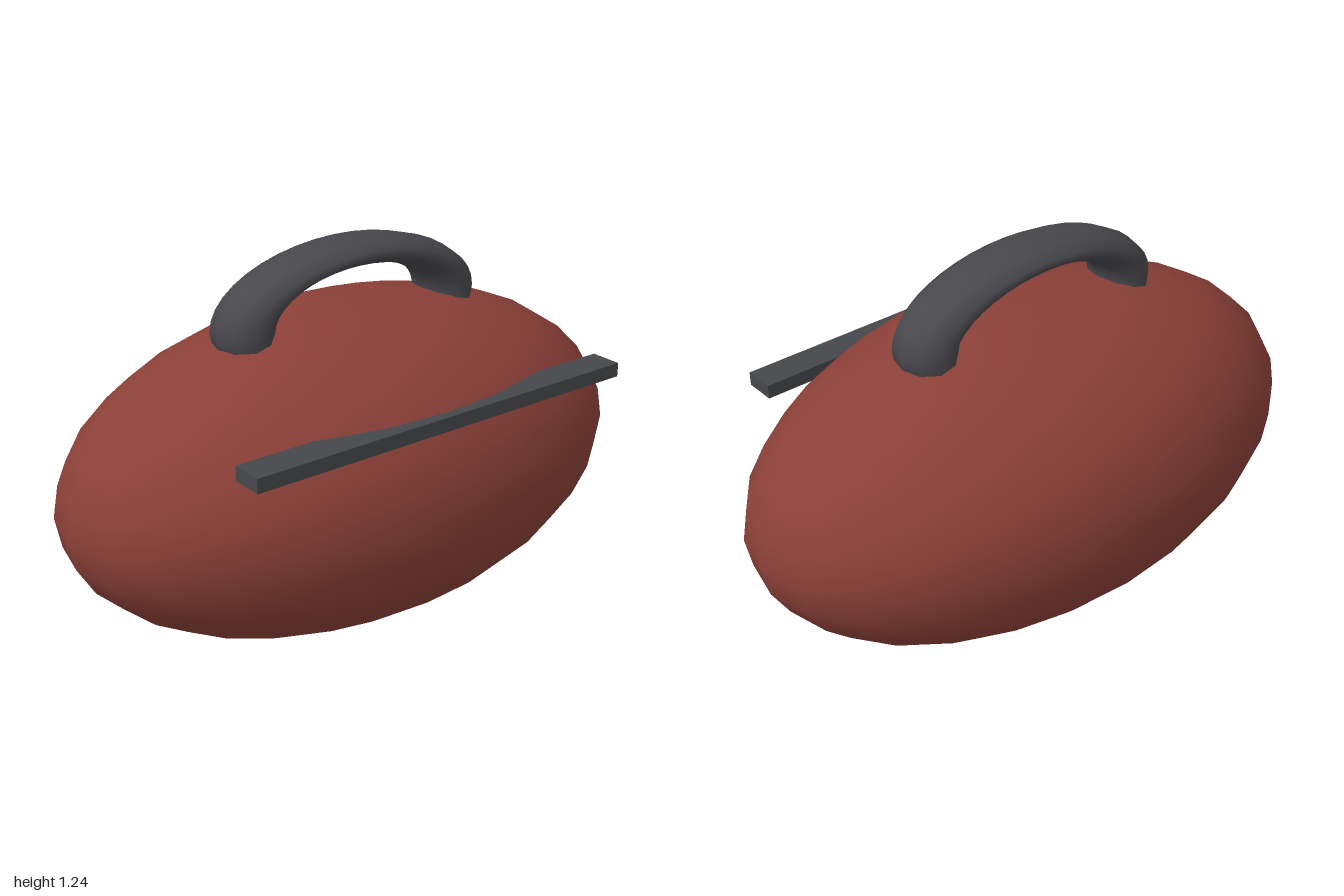
import * as THREE from 'three';

export function createModel() {
  const model = new THREE.Group();
  const material = (name, color) => {
    const m = new THREE.MeshStandardMaterial({ color });
    m.name = name;
    return m;
  };
  const red = material('brick red', 0x8b4038);
  const charcoal = material('charcoal', 0x47474c);
  const slate = material('slate grey', 0x45474b);

  const add = (name, geometry, mat, y, z) => {
    const mesh = new THREE.Mesh(geometry, mat);
    mesh.name = name;
    mesh.position.set(0, y, z);
    model.add(mesh);
  };

  // Ellipsoid body
  add('body', new THREE.SphereGeometry(1, 24, 16).scale(1, 0.521, 0.585), red, 0.524, 0);

  // Flattened ring whose lower half is sunk in the body
  add('handle', new THREE.TorusGeometry(0.388, 0.09, 10, 40).scale(1, 0.475, 1.222), charcoal, 1.013, 0);

  // Straight bar across the front
  add('frontBar', new THREE.BoxGeometry(1.375, 0.045, 0.104), slate, 0.8, 0.457);

  return model;
}
